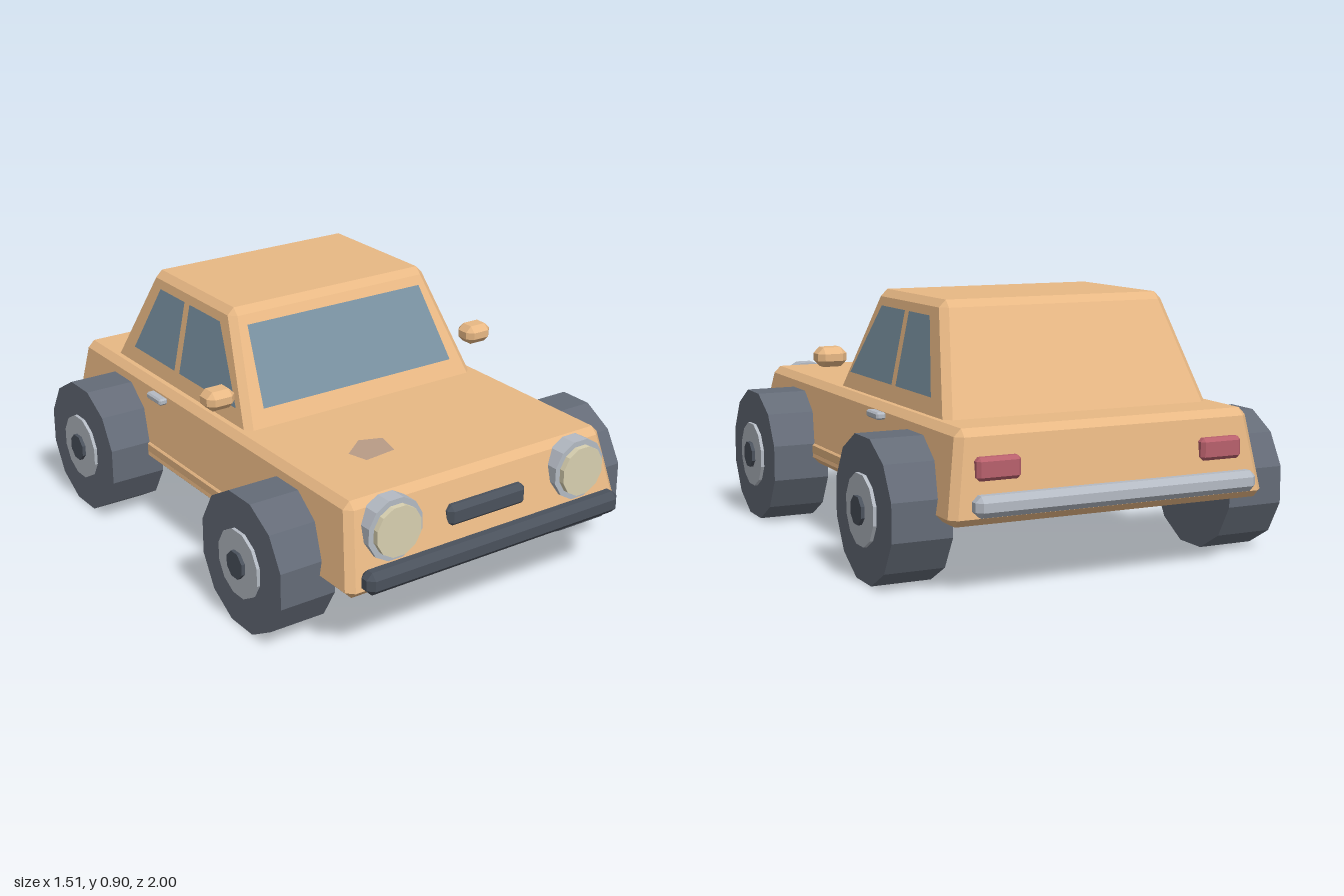
import * as THREE from 'three';
import { ConvexGeometry } from 'three/addons/geometries/ConvexGeometry.js';

const mat = (color, side = THREE.FrontSide) =>
  new THREE.MeshStandardMaterial({ color, flatShading: true, side });

export function createModel() {
  const car = new THREE.Group();
  car.name = 'car';
  const paint = mat(0xe8b884), dark = mat(0x4a515c), tyre = mat(0x646b77), chrome = mat(0xb4bac3);
  const lens = mat(0xd8d0b0), red = mat(0xb8606c);
  const glass = mat(0x7890a0, THREE.DoubleSide), patch = mat(0xb89c86, THREE.DoubleSide);

  const add = (name, geometry, material, parent = car) => {
    const mesh = new THREE.Mesh(geometry, material);
    mesh.name = name;
    parent.add(mesh);
    return mesh;
  };

  // Tapered block with chamfered edges; each level is [y, halfWidth, zBack, zFront]
  const block = (bottom, top, b) => {
    const pts = [];
    [bottom, top].forEach(([y, w, zb, zf], level) => {
      const dy = level ? -b : b;
      for (const s of [-1, 1]) {
        for (const [z, dz] of [[zb, b], [zf, -b]]) {
          pts.push(
            new THREE.Vector3(s * w, y + dy, z + dz),
            new THREE.Vector3(s * (w - b), y + dy, z),
            new THREE.Vector3(s * (w - b), y, z + dz));
        }
      }
    });
    return new ConvexGeometry(pts);
  };
  const box = (w, h, d, b) => block([-h / 2, w / 2, -d / 2, d / 2], [h / 2, w / 2, -d / 2, d / 2], b);

  // Flat panel fanned from its corners
  const panel = (corners) => {
    const g = new THREE.BufferGeometry();
    g.setAttribute('position', new THREE.Float32BufferAttribute(corners.flat(), 3));
    const index = [];
    for (let i = 1; i < corners.length - 1; i++) index.push(0, i, i + 1);
    g.setIndex(index);
    g.computeVertexNormals();
    return g;
  };

  // Body and cabin
  add('body', block([0.23, 0.58, -0.94, 0.95], [0.532, 0.54, -0.9, 0.88], 0.025), paint);
  add('cabin', block([0.5, 0.497, -0.72, 0.23], [0.9, 0.425, -0.535, 0.02], 0.025), paint);

  // Windows lie just outside the sloping cabin walls
  const frontZ = (y) => 0.23 - (y - 0.525) * 0.6 + 0.006;
  const sideX = (y) => 0.497 - (y - 0.525) * 0.206 + 0.005;
  const low = 0.59, high = 0.845;
  add('windshield', panel([
    [-0.41, low, frontZ(low)], [0.41, low, frontZ(low)],
    [0.375, high, frontZ(high)], [-0.375, high, frontZ(high)]]), glass);

  for (const s of [-1, 1]) {
    const label = s > 0 ? 'left' : 'right';
    const sideWindow = (name, z0, z1, z2, z3) => add(name, panel([
      [s * sideX(low), low, z0], [s * sideX(low), low, z1],
      [s * sideX(high), high, z2], [s * sideX(high), high, z3]]), glass);
    sideWindow(label + 'FrontWindow', 0.14, -0.25, -0.25, -0.04);
    sideWindow(label + 'RearWindow', -0.285, -0.585, -0.46, -0.285);

    // Side fittings
    add(label + 'Mirror', box(0.11, 0.07, 0.09, 0.022), paint).position.set(s * 0.565, 0.65, 0.145);
    add(label + 'DoorHandle', box(0.035, 0.025, 0.1, 0.006), chrome).position.set(s * 0.563, 0.498, -0.29);
    add(label + 'Sill', box(0.03, 0.04, 0.84, 0.006), paint).position.set(s * 0.565, 0.285, -0.02);

    // Headlight and tail light
    const lamp = new THREE.Group();
    lamp.name = label + 'Headlight';
    lamp.position.set(s * 0.39, 0.43, 0);
    car.add(lamp);
    const rim = add('rim', new THREE.CylinderGeometry(0.11, 0.11, 0.06, 12), chrome, lamp);
    const glow = add('lens', new THREE.CylinderGeometry(0.09, 0.09, 0.04, 12), lens, lamp);
    rim.position.z = 0.905;
    glow.position.z = 0.935;
    for (const m of [rim, glow]) m.rotation.set(Math.PI / 2, Math.PI / 12, 0);
    add(label + 'TailLight', box(0.155, 0.075, 0.05, 0.012), red).position.set(s * 0.41, 0.408, -0.915);

    // Wheels, with the axle along x and a flat tread facet on the ground
    for (const [end, z] of [['Front', 0.545], ['Rear', -0.585]]) {
      const wheel = new THREE.Group();
      wheel.name = label + end + 'Wheel';
      wheel.position.set(0, 0.24, z);
      car.add(wheel);
      const disc = (name, r, x0, x1, sides, material) => {
        const g = new THREE.CylinderGeometry(r, r, x1 - x0, sides);
        g.rotateY(Math.PI / sides).rotateZ(Math.PI / 2);
        add(name, g, material, wheel).position.x = s * (x0 + x1) / 2;
      };
      disc('tyre', 0.2485, 0.52, 0.73, 12, tyre);
      disc('hub', 0.122, 0.7, 0.742, 12, chrome);
      disc('hubCap', 0.05, 0.72, 0.755, 8, dark);
    }
  }

  // Front and rear details
  add('grille', box(0.33, 0.078, 0.06, 0.018), dark).position.set(0, 0.397, 0.9);
  add('frontBumper', box(1.07, 0.08, 0.07, 0.022), dark).position.set(0, 0.29, 0.965);
  add('rearBumper', box(1.03, 0.07, 0.065, 0.02), chrome).position.set(0, 0.3, -0.967);
  add('fuelFlap', box(0.03, 0.09, 0.1, 0.006), paint).position.set(0.557, 0.405, -0.46);

  // Faded patch on the hood
  add('hoodPatch', panel([
    [-0.225, 0.535, 0.5], [-0.315, 0.535, 0.57], [-0.295, 0.535, 0.645],
    [-0.17, 0.535, 0.63], [-0.145, 0.535, 0.53]]), patch);

  return car;
}
